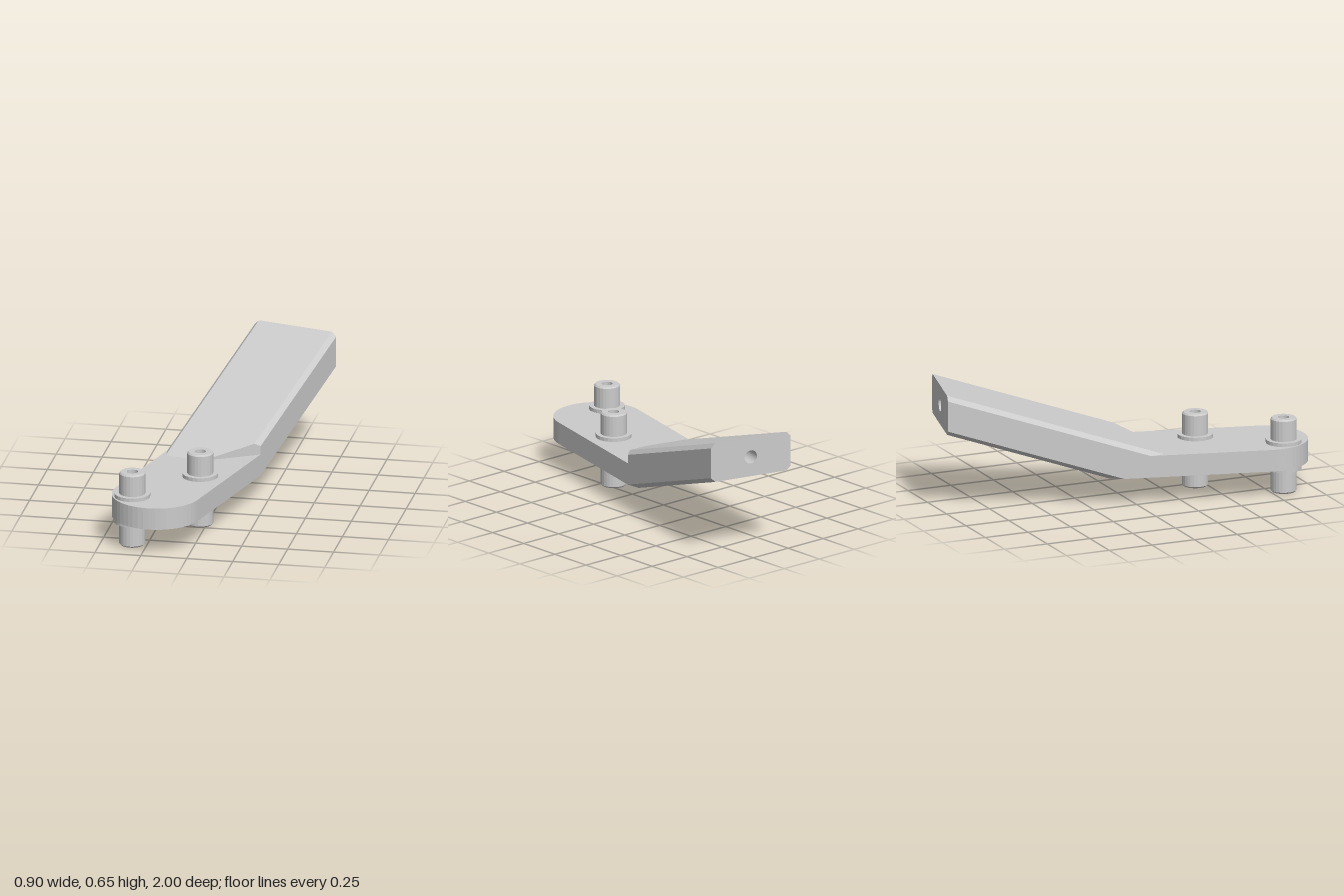
import * as THREE from 'three';

const material = new THREE.MeshStandardMaterial({ color: 0xcccccc, flatShading: true });

// Arm frame: x runs across, y up, and -z along the arm from the rounded end (u = -z)
const HALF = 0.24, CUT = 0.025;            // half width, edge chamfer
const BOTTOM = 0.15, TOP = 0.27;           // flat plate
const SLOPE = 0.326, THICK = 0.217;        // raised arm
const FOLD = 0.577, END = 1.755;           // where the rise starts, where the arm ends
const topAt = u => TOP + SLOPE * (u - FOLD);
const uAt = y => FOLD + (y - TOP) / SLOPE; // where the arm's top reaches height y

function add(parent, name, geometry) {
  const mesh = new THREE.Mesh(geometry, material);
  mesh.name = name;
  parent.add(mesh);
  return mesh;
}

function faces(triangles) {
  const g = new THREE.BufferGeometry().setFromPoints(triangles);
  g.computeVertexNormals();
  return g;
}

// Flat plate with a half-round front
function plateGeometry() {
  const uSide = uAt(BOTTOM + THICK - CUT), uBottom = uAt(BOTTOM + THICK);
  const s = new THREE.Shape();
  s.moveTo(-HALF, 0);
  s.absarc(0, 0, HALF, Math.PI, Math.PI * 2, false);
  s.lineTo(HALF, uSide);
  s.lineTo(HALF - CUT, uBottom);
  s.lineTo(-HALF + CUT, uBottom);
  s.lineTo(-HALF, uSide);
  s.closePath();
  return new THREE.ExtrudeGeometry(s, { depth: TOP - BOTTOM, bevelEnabled: false, curveSegments: 12 })
    .rotateX(-Math.PI / 2).translate(0, BOTTOM, 0);
}

// Sloping arm: chamfered section, each corner starting where it leaves the plate
function armGeometry() {
  const w = HALF - CUT;
  const uSide = uAt(BOTTOM + THICK - CUT), uBottom = uAt(BOTTOM + THICK);
  const uCorner = THREE.MathUtils.lerp(FOLD, uSide, w / HALF);
  // across, drop below the top surface, start along the arm
  const section = [
    [-HALF, CUT, uAt(TOP + CUT)], [-w, 0, FOLD], [0, 0, FOLD], [w, 0, uCorner],
    [HALF, CUT, uSide], [HALF, THICK - CUT, uSide],
    [w, THICK, uBottom], [-w, THICK, uBottom], [-HALF, THICK - CUT, uSide],
  ];
  const point = ([x, drop], u) => new THREE.Vector3(x, topAt(u) - drop, -u);
  const tris = [];
  section.forEach((p, i) => {
    const q = section[(i + 1) % section.length];
    const a = point(p, p[2]), b = point(q, q[2]), c = point(q, END), d = point(p, END);
    tris.push(a, b, c, a, c, d);
  });
  // Upright diagonal step at the front of the arm
  const [p0, p1, p2] = [2, 3, 4].map(i => point(section[i], section[i][2]));
  const p3 = new THREE.Vector3(HALF, TOP, -uSide);
  tris.push(p0, p3, p2, p0, p2, p1);
  return faces(tris);
}

// End face with a round hole
function endGeometry(holeRadius) {
  const w = HALF - CUT, h = THICK / 2;
  const s = new THREE.Shape([
    [-w, -h], [w, -h], [HALF, -h + CUT], [HALF, h - CUT],
    [w, h], [-w, h], [-HALF, h - CUT], [-HALF, -h + CUT],
  ].map(p => new THREE.Vector2(...p)));
  s.holes.push(new THREE.Path().absarc(0, 0, holeRadius, 0, Math.PI * 2, true));
  return new THREE.ShapeGeometry(s, 12).rotateY(Math.PI);
}

const lathe = points =>
  new THREE.LatheGeometry(points.map(p => new THREE.Vector2(...p)), 24);

export function createModel() {
  const model = new THREE.Group();
  model.name = 'angledBracket';

  const arm = new THREE.Group();
  arm.name = 'arm';
  arm.position.set(-0.21, 0, 0.76);
  arm.rotation.y = -0.245;
  model.add(arm);

  add(arm, 'plate', plateGeometry());
  add(arm, 'raisedArm', armGeometry());

  const holeRadius = 0.037, endY = topAt(END) - THICK / 2;
  add(arm, 'armEnd', endGeometry(holeRadius)).position.set(0, endY, -END);
  add(arm, 'endHole', lathe([[holeRadius, 0], [holeRadius, -0.15], [0, -0.17]]).rotateX(-Math.PI / 2))
    .position.set(0, endY, -END);

  // Collared pins through the plate, drilled at both ends
  const pin = lathe([
    [0, 0.1], [0.03, 0.085], [0.03, 0], [0.063, 0], [0.07, 0.008],
    [0.07, 0.125], [0.096, 0.125], [0.096, 0.29], [0.07, 0.29],
    [0.07, 0.402], [0.063, 0.41], [0.03, 0.41], [0.03, 0.325], [0, 0.31],
  ]);
  [['frontPin', -0.33, 0.825], ['rearPin', -0.035, 0.44]].forEach(([name, x, z]) =>
    add(model, name, pin).position.set(x, 0, z));

  return model;
}
